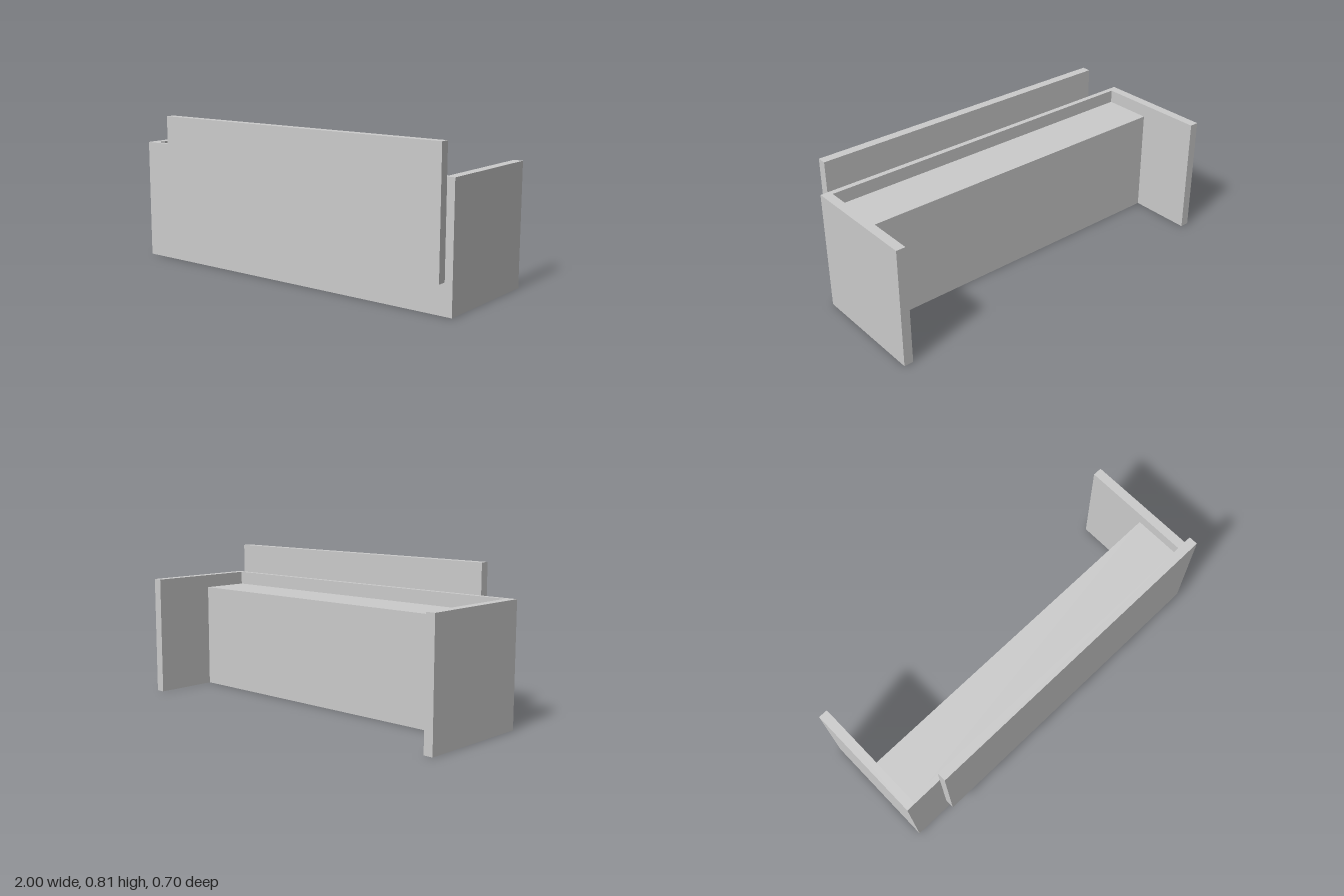
import * as THREE from 'three';

export function createModel() {
  const model = new THREE.Group();
  model.name = 'receptionDesk';
  const material = new THREE.MeshStandardMaterial({ color: 0xcccccc });

  // Box given by its min and max along each axis
  function board(name, [x0, x1], [y0, y1], [z0, z1]) {
    const mesh = new THREE.Mesh(new THREE.BoxGeometry(x1 - x0, y1 - y0, z1 - z0), material);
    mesh.position.set((x0 + x1) / 2, (y0 + y1) / 2, (z0 + z1) / 2);
    mesh.name = name;
    model.add(mesh);
  }

  const height = 0.65, inner = 0.95, front = 0.298, back = -0.35;

  // End walls
  board('leftWall', [inner, 1], [0, height], [back, front]);
  board('rightWall', [-1, -inner], [0, height], [back, front]);

  // Front wall between the ends, with the lower cabinet behind it
  board('frontWall', [-inner, inner], [0, height], [0.268, front]);
  board('cabinet', [-inner, inner], [0, 0.578], [0, 0.268]);

  // Raised, off-centre facing panel just ahead of the front wall
  board('facingPanel', [-0.79, 0.96], [0.163, 0.813], [0.301, 0.35]);

  return model;
}
